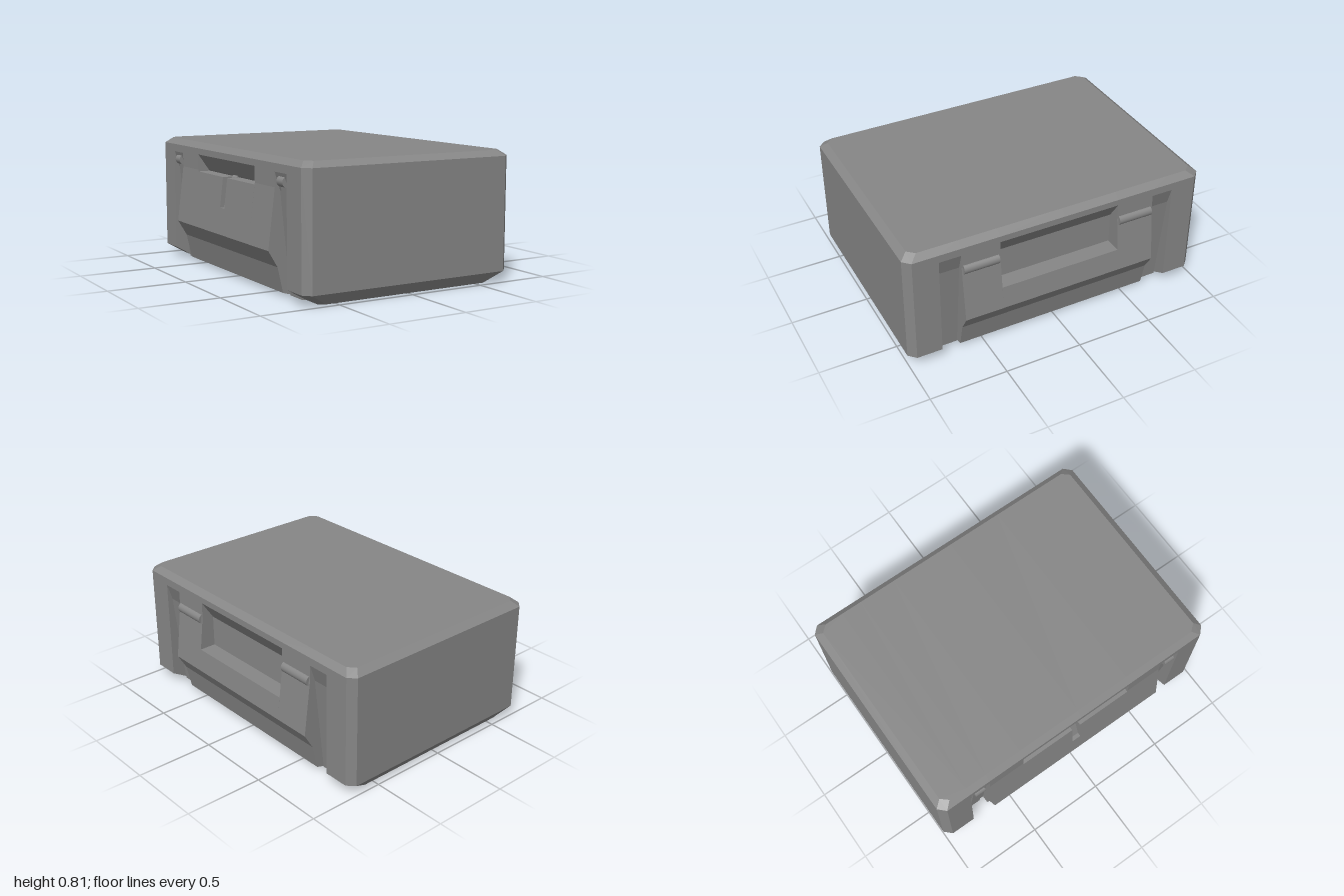
import * as THREE from 'three';
import { ConvexGeometry } from 'three/addons/geometries/ConvexGeometry.js';

const grey = new THREE.MeshStandardMaterial({ color: 0x868686, flatShading: true });
const smooth = new THREE.MeshStandardMaterial({ color: 0x868686 });

// Half outlines of the case, bottom to top, as [distance from centre, height]
const rim = [[0.72, 0.78], [0.68, 0.815]];
const foot = [[0.6, 0], [0.67, 0.02], [0.705, 0.175], [0.765, 0.275]];
const groove = [[0.62, 0], [0.685, 0.62], [0.72, 0.73], ...rim];
const panel = [...foot, [0.72, 0.64], ...rim];
const grip = [...foot, [0.748, 0.42], [0.64, 0.42], [0.64, 0.62], [0.72, 0.74], ...rim];
const slot = [...foot, [0.722, 0.63], [0.64, 0.63], [0.65, 0.64], [0.72, 0.74], ...rim];
const notch = [...foot, [0.745, 0.44], [0.72, 0.44], [0.66, 0.63], [0.65, 0.64], [0.72, 0.74], ...rim];

// One slice of the case between two depths, from a +x and a -x half outline
function slice(name, plus, minus, z0, z1) {
  const pts = [
    ...plus.map(([x, y]) => new THREE.Vector2(x, y)),
    ...minus.map(([x, y]) => new THREE.Vector2(-x, y)).reverse(),
  ];
  const geo = new THREE.ExtrudeGeometry(new THREE.Shape(pts), { depth: z1 - z0, bevelEnabled: false });
  geo.translate(0, 0, z0);
  const mesh = new THREE.Mesh(geo, grey);
  mesh.name = name;
  return mesh;
}

// Chamfered end block, s = 1 for the front and -1 for the back
function endBlock(s) {
  const half = [
    [0.6, 0, 0.79], [0.72, 0.07, 0.79], [0.72, 0.78, 0.79], [0.68, 0.815, 0.79],
    [0.6, 0, 0.925], [0.56, 0, 0.95],
    [0.72, 0.07, 0.955], [0.675, 0.07, 1],
    [0.72, 0.78, 0.955], [0.675, 0.78, 1],
    [0.68, 0.815, 0.91], [0.64, 0.815, 0.955],
  ];
  const pts = half.flatMap(([x, y, z]) => [
    new THREE.Vector3(x, y, z * s), new THREE.Vector3(-x, y, z * s),
  ]);
  const mesh = new THREE.Mesh(new ConvexGeometry(pts), grey);
  mesh.name = s > 0 ? 'frontEnd' : 'backEnd';
  return mesh;
}

// Pin lying along z
function pin(name, x, y, z, radius, length) {
  const geo = new THREE.CylinderGeometry(radius, radius, length, 20).rotateX(Math.PI / 2);
  const mesh = new THREE.Mesh(geo, smooth);
  mesh.position.set(x, y, z);
  mesh.name = name;
  return mesh;
}

export function createModel() {
  const group = new THREE.Group();
  group.name = 'case';

  for (const s of [1, -1]) {
    const side = s > 0 ? 'front' : 'back';
    const add = (name, plus, minus, a, b) =>
      group.add(slice(side + name, plus, minus, s > 0 ? a : -b, s > 0 ? b : -a));

    group.add(endBlock(s));
    add('GrooveSection', groove, groove, 0.65, 0.79);
    add('PanelSection', panel, panel, 0.4, 0.65);
    add('GripSection', grip, slot, 0.03, 0.4);

    // Long pins beside the grip
    group.add(pin(side + 'GripHinge', 0.708, 0.623, s * 0.525, 0.034, 0.23));

    // Small pins with a strap running down the grooves of the other side
    group.add(pin(side + 'GrooveHinge', -0.697, 0.68, s * 0.722, 0.033, 0.07));
    const strap = new THREE.Mesh(new THREE.BoxGeometry(0.03, 0.62, 0.07), grey);
    strap.position.set(-0.655, 0.36, s * 0.722);
    strap.rotation.z = 0.104;
    strap.name = side + 'Strap';
    group.add(strap);
  }

  // Centre slice with the narrow sloping notch below the slot
  group.add(slice('notchSection', grip, notch, -0.03, 0.03));

  return group;
}
